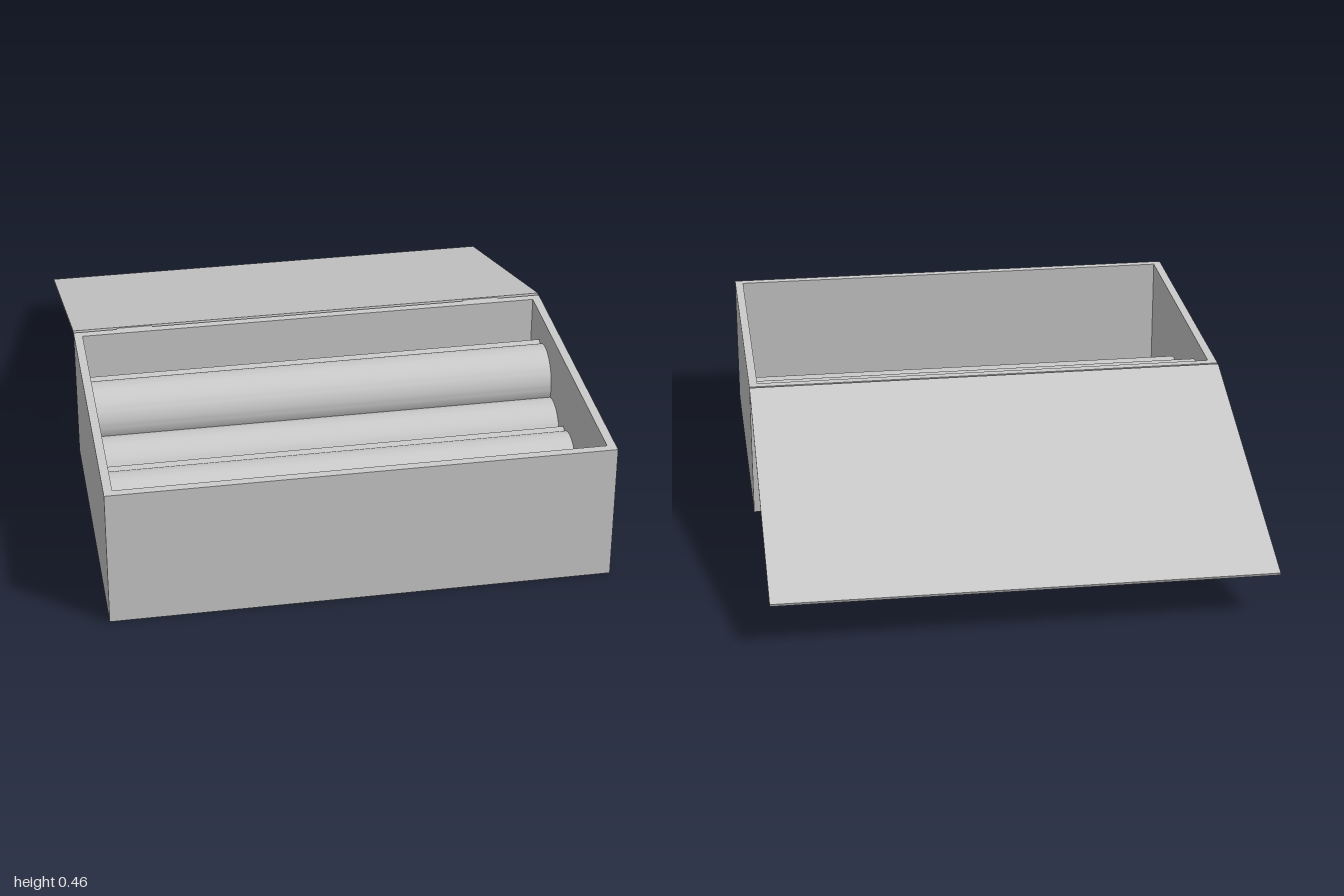
import * as THREE from 'three';
import { toCreasedNormals } from 'three/addons/utils/BufferGeometryUtils.js';

const W = 1.6, H = 0.463, BACK = -0.02, FRONT = 1, WALL = 0.028;

export function createModel() {
  const model = new THREE.Group();
  const material = new THREE.MeshStandardMaterial({ color: 0xcccccc });

  const add = (name, geometry, x = 0, y = 0, z = 0, parent = model) => {
    const mesh = new THREE.Mesh(geometry, material);
    mesh.name = name;
    mesh.position.set(x, y, z);
    parent.add(mesh);
    return mesh;
  };

  // Box walls: one rectangular ring standing on the ground
  const rect = (Path, w, d) => {
    const p = new Path();
    p.moveTo(-w / 2, -d / 2);
    p.lineTo(w / 2, -d / 2);
    p.lineTo(w / 2, d / 2);
    p.lineTo(-w / 2, d / 2);
    p.closePath();
    return p;
  };
  const depth = FRONT - BACK, midZ = (FRONT + BACK) / 2;
  const ring = rect(THREE.Shape, W, depth);
  ring.holes.push(rect(THREE.Path, W - 2 * WALL, depth - 2 * WALL));
  const walls = new THREE.ExtrudeGeometry(ring, { depth: H, bevelEnabled: false });
  walls.rotateX(-Math.PI / 2);
  add('boxWalls', walls, 0, 0, midZ);

  // Box floor, fitted inside the walls
  add('boxFloor', new THREE.BoxGeometry(W - 2 * WALL, 0.035, depth - 2 * WALL), 0, 0.0175, midZ);

  // Rolled sheet: a spiral section whose loose edge makes a small step
  const length = W - 2 * WALL - 0.002;
  const outer = 0.115, step = 0.017, edgeAngle = 0.71, segments = 64;
  const spiral = new THREE.Shape();
  for (let i = 0; i <= segments; i++) {
    const t = i / segments;
    // angle measured from straight up, turning towards the back
    const a = edgeAngle + t * Math.PI * 2;
    const r = outer - step * t;
    const px = Math.sin(a) * r, py = Math.cos(a) * r;
    if (i === 0) spiral.moveTo(px, py);
    else spiral.lineTo(px, py);
  }
  spiral.closePath();
  let roll = new THREE.ExtrudeGeometry(spiral, { depth: length, bevelEnabled: false });
  roll.translate(0, 0, -length / 2);
  roll.rotateY(Math.PI / 2); // section x becomes -z
  roll = toCreasedNormals(roll, 0.6);

  // Three rolls on the floor and one resting on top: [z, y]
  const rolls = new THREE.Group();
  rolls.name = 'rolledSheets';
  model.add(rolls);
  [[0.11, 0.15], [0.332, 0.15], [0.553, 0.15], [0.198, 0.283]].forEach(([z, y], i) =>
    add('rolledSheet' + (i + 1), roll, 0, y, z, rolls));

  // Open lid, sloping down behind the box
  const lidTop = new THREE.Vector2(-0.03, 0.46), lidEnd = new THREE.Vector2(-0.998, 0.146);
  const lidLength = lidTop.distanceTo(lidEnd);
  const lid = add('lid', new THREE.BoxGeometry(W, 0.009, lidLength),
    0, (lidTop.y + lidEnd.y) / 2, (lidTop.x + lidEnd.x) / 2);
  lid.rotation.x = -Math.atan2(lidTop.y - lidEnd.y, lidTop.x - lidEnd.x);

  // Pair of hinges between the box and the lid
  for (const side of [-1, 1]) {
    add(side > 0 ? 'leftHinge' : 'rightHinge',
      new THREE.BoxGeometry(0.12, 0.016, 0.016), side * 0.595, 0.453, -0.027);
  }
  return model;
}
